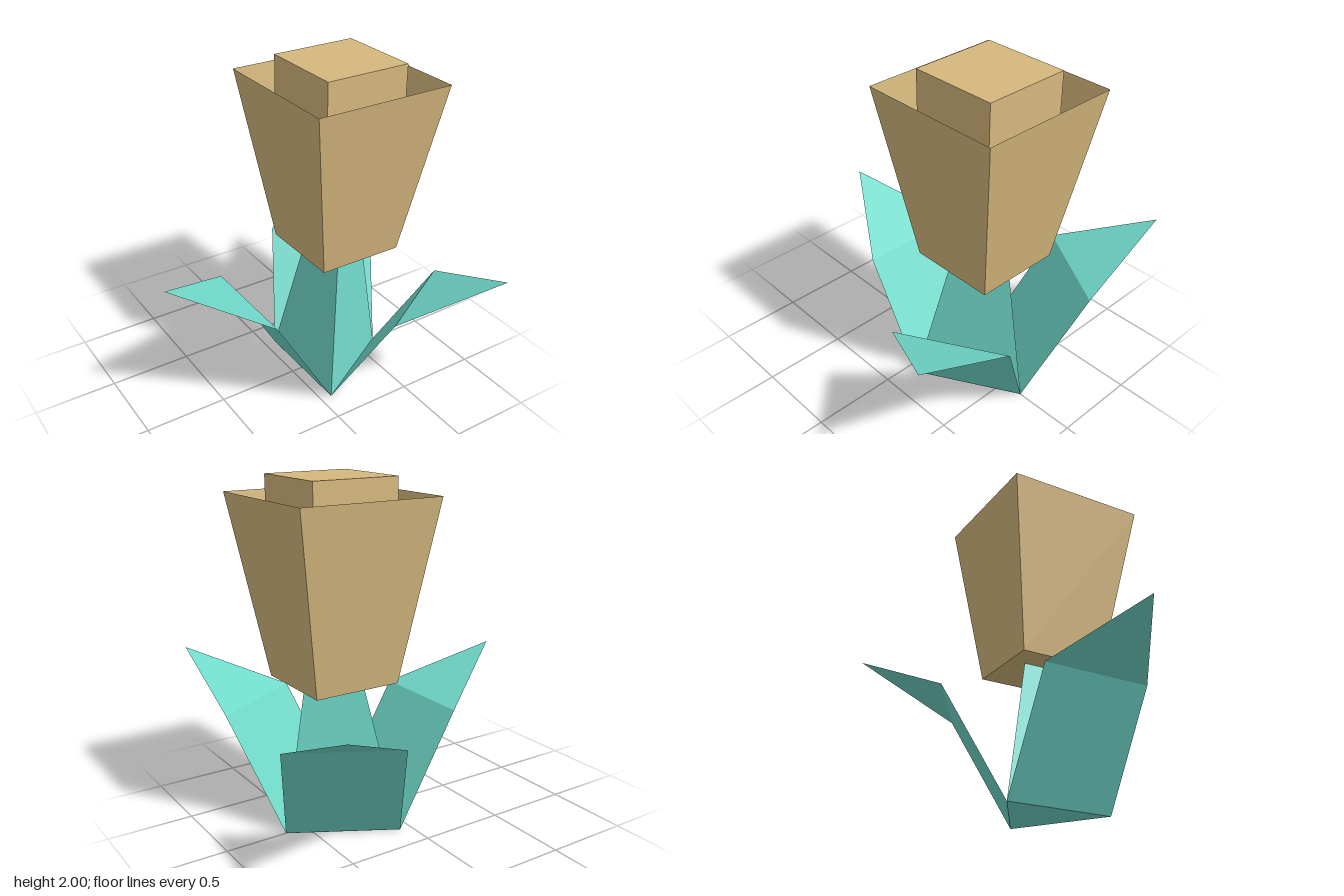
import * as THREE from 'three';

const petalTan = new THREE.MeshStandardMaterial({ color: 0xd6b87d, side: THREE.DoubleSide });
petalTan.name = 'petalTan';
const leafTeal = new THREE.MeshStandardMaterial({ color: 0x70d9ca, side: THREE.DoubleSide });
leafTeal.name = 'leafTeal';

const BASE_X = 0.258; // stem foot
const HEAD_X = 0.304; // flower axis
const STEM_H = 0.865;

// Faceted mesh with hard edges
function faceted(name, geometry, material) {
  const geo = geometry.index ? geometry.toNonIndexed() : geometry;
  geo.computeVertexNormals();
  const mesh = new THREE.Mesh(geo, material);
  mesh.name = name;
  return mesh;
}

// One folded sheet: a rising panel and a pointed tip, leaning towards -x
function leafGeometry() {
  const geo = new THREE.BufferGeometry();
  geo.setAttribute('position', new THREE.Float32BufferAttribute([
    -0.188, 0, -0.327, -0.188, 0, 0.327,
    -0.566, 0.65, -0.327, -0.566, 0.65, 0.327,
    -1.083, 0.907, 0,
  ], 3));
  geo.setIndex([0, 1, 3, 0, 3, 2, 2, 3, 4]);
  return geo;
}

export function createModel() {
  const group = new THREE.Group();
  group.name = 'flower';

  // Three-sided tapering stem, leaning slightly to the flower axis
  const stemGeo = new THREE.CylinderGeometry(0.187, 0.377, STEM_H, 3, 1, false, Math.PI / 2);
  stemGeo.translate(0, STEM_H / 2, 0);
  const pos = stemGeo.attributes.position;
  for (let i = 0; i < pos.count; i++) {
    const t = pos.getY(i) / STEM_H;
    pos.setX(i, pos.getX(i) + THREE.MathUtils.lerp(BASE_X, HEAD_X, t));
  }
  group.add(faceted('stem', stemGeo, leafTeal));

  // Three leaves around the foot of the stem
  for (let i = 0; i < 3; i++) {
    const leaf = faceted('leaf' + (i + 1), leafGeometry(), leafTeal);
    leaf.position.x = BASE_X;
    leaf.rotation.y = (i * Math.PI * 2) / 3;
    group.add(leaf);
  }

  // Open, flared square cup of petals
  const cupH = 1.9 - STEM_H;
  const cup = faceted('petalCup', new THREE.CylinderGeometry(
    0.425 * Math.SQRT2, 0.259 * Math.SQRT2, cupH, 4, 1, true, Math.PI / 4), petalTan);
  cup.position.set(HEAD_X, STEM_H + cupH / 2, 0);
  group.add(cup);

  // Square bud filling the cup
  const budH = 2 - STEM_H;
  const bud = faceted('innerBud', new THREE.BoxGeometry(0.516, budH, 0.516), petalTan);
  bud.position.set(HEAD_X, STEM_H + budH / 2, 0);
  group.add(bud);

  return group;
}
